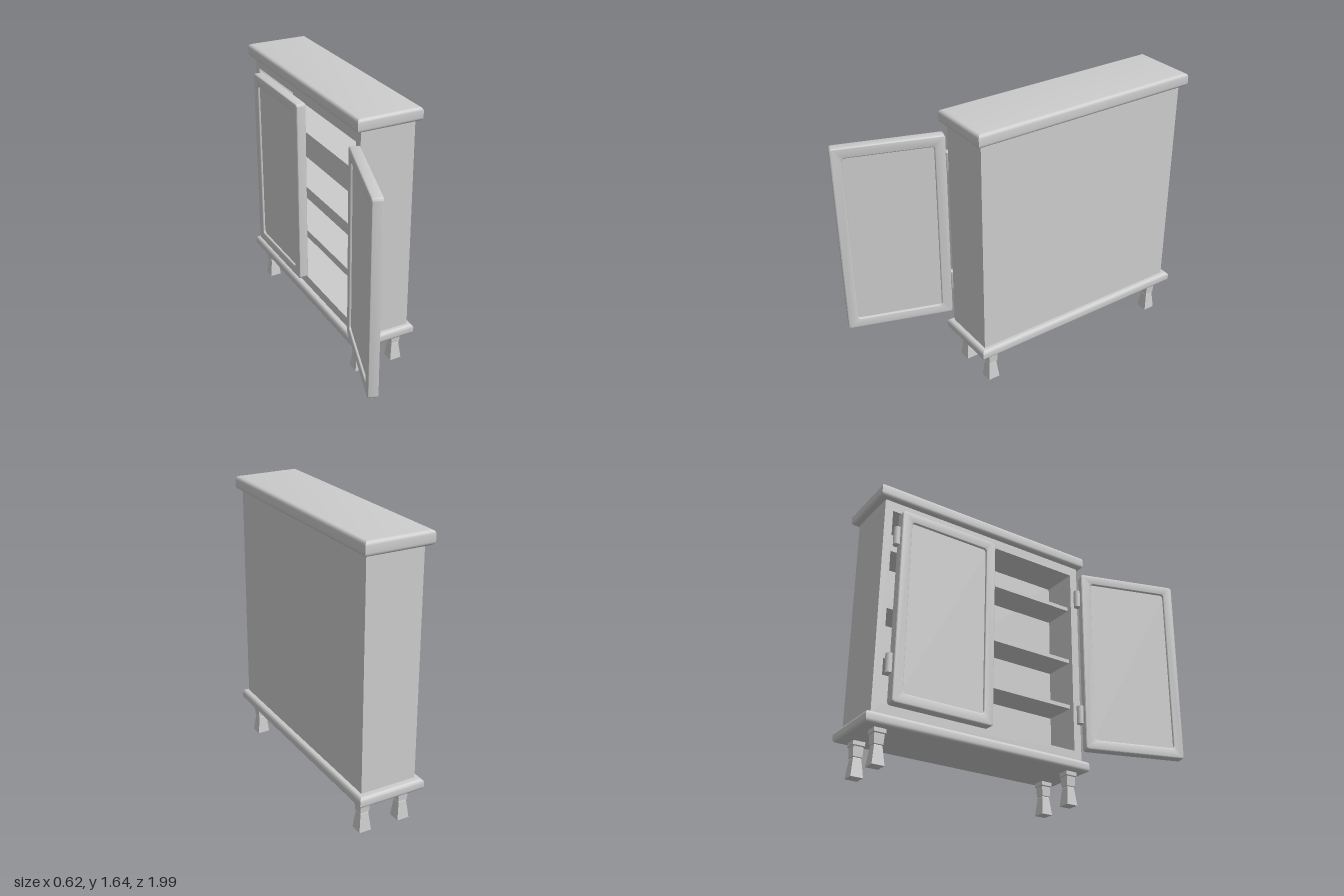
import * as THREE from 'three';
import { toCreasedNormals } from 'three/addons/utils/BufferGeometryUtils.js';

const grey = new THREE.MeshStandardMaterial({ color: 0xcccccc });

function add(parent, name, geometry, x = 0, y = 0, z = 0) {
  const mesh = new THREE.Mesh(geometry, grey);
  mesh.name = name;
  mesh.position.set(x, y, z);
  parent.add(mesh);
  return mesh;
}

// Stacked rectangles, profile rows are [inset, height] from bottom to top
function rectLoft(width, depth, profile, crease = 0.6) {
  const pos = [], idx = [], n = profile.length;
  for (const [inset, y] of profile) {
    const a = width / 2 - inset, b = depth / 2 - inset;
    pos.push(-a, y, b, a, y, b, a, y, -b, -a, y, -b);
  }
  for (let i = 0; i < n - 1; i++) {
    for (let j = 0; j < 4; j++) {
      const p = i * 4 + j, q = i * 4 + (j + 1) % 4;
      idx.push(p, q, q + 4, p, q + 4, p + 4);
    }
  }
  const t = (n - 1) * 4;
  idx.push(0, 2, 1, 0, 3, 2, t, t + 1, t + 2, t, t + 2, t + 3);
  const g = new THREE.BufferGeometry();
  g.setAttribute('position', new THREE.Float32BufferAttribute(pos, 3));
  g.setIndex(idx);
  return toCreasedNormals(g, crease);
}

// Rounded rectangle outline, u along z and v along y
function roundRect(path, u0, v0, u1, v1, r) {
  path.moveTo(u0 + r, v0);
  path.lineTo(u1 - r, v0);
  path.absarc(u1 - r, v0 + r, r, -Math.PI / 2, 0);
  path.lineTo(u1, v1 - r);
  path.absarc(u1 - r, v1 - r, r, 0, Math.PI / 2);
  path.lineTo(u0 + r, v1);
  path.absarc(u0 + r, v1 - r, r, Math.PI / 2, Math.PI);
  path.lineTo(u0, v0 + r);
  path.absarc(u0 + r, v0 + r, r, Math.PI, Math.PI * 1.5);
  return path;
}

// Slab with rounded edges all round
function slabGeometry(height) {
  const r = 0.022, steps = 5, profile = [];
  for (let k = 0; k <= 1; k++) {
    for (let i = 0; i <= steps; i++) {
      const a = (k - 1 + i / steps) * Math.PI / 2;
      const centre = k === 0 ? r : height - r;
      profile.push([r - r * Math.cos(a), centre + r * Math.sin(a)]);
    }
  }
  return rectLoft(0.395, 1.43, profile);
}

// Door with its hinge edge at z = 0, running along +z, bottom at y = 0
function makeDoor(name) {
  const door = new THREE.Group();
  door.name = name;
  const w = 0.62, h = 1.165, t = 0.06, b = 0.007, m = 0.055;
  const shape = roundRect(new THREE.Shape(), b, b, w - b, h - b, 0.01);
  shape.holes.push(roundRect(new THREE.Path(), m, m, w - m, h - m, 0.025));
  const frame = new THREE.ExtrudeGeometry(shape, {
    depth: t - 2 * b, bevelThickness: b, bevelSize: b, bevelSegments: 3, curveSegments: 5,
  });
  frame.translate(0, 0, b - t / 2);
  frame.rotateY(-Math.PI / 2);
  add(door, 'doorFrame', toCreasedNormals(frame, 0.6));
  add(door, 'doorPanel', new THREE.BoxGeometry(0.034, h - 0.08, w - 0.08), 0, h / 2, w / 2);
  return door;
}

export function createModel() {
  const cabinet = new THREE.Group();
  cabinet.name = 'cabinet';
  const front = -0.05, back = 0.28, inner = 0.176;
  const z0 = -0.96, z1 = 0.4, zMid = (z0 + z1) / 2;

  // Carcass: open frame facing -x, closed by the back panel
  const outline = new THREE.Shape();
  outline.moveTo(z0, 0.25).lineTo(z1, 0.25).lineTo(z1, 1.575).lineTo(z0, 1.575).closePath();
  const opening = new THREE.Path();
  opening.moveTo(z0 + 0.05, 0.325).lineTo(z0 + 0.05, 1.5).lineTo(z1 - 0.05, 1.5).lineTo(z1 - 0.05, 0.325).closePath();
  outline.holes.push(opening);
  const carcass = new THREE.ExtrudeGeometry(outline, { depth: inner - front, bevelEnabled: false });
  carcass.rotateY(-Math.PI / 2);
  add(cabinet, 'carcass', carcass, inner);
  add(cabinet, 'backPanel', new THREE.BoxGeometry(back - inner, 1.325, z1 - z0), (back + inner) / 2, 0.9125, zMid);

  // Shelves
  for (const y of [0.61, 0.91, 1.27]) {
    add(cabinet, 'shelf', new THREE.BoxGeometry(0.197, 0.024, 1.27), 0.08, y, zMid);
  }

  // Top and base slabs
  add(cabinet, 'topSlab', slabGeometry(0.08), 0.113, 1.56, -0.285);
  add(cabinet, 'baseSlab', slabGeometry(0.067), 0.113, 0.198, -0.285);

  // Square stepped legs
  const leg = rectLoft(0.074, 0.074, [
    [0.001, 0], [0.013, 0.105], [0.015, 0.11], [0.01, 0.113],
    [0.007, 0.17], [0.002, 0.175], [0.002, 0.205],
  ], 0.1);
  for (const x of [-0.007, 0.233]) {
    for (const z of [-0.895, 0.33]) add(cabinet, 'leg', leg, x, 0, z);
  }

  // One door closed, one swung open
  const closedDoor = makeDoor('closedDoor');
  closedDoor.position.set(-0.078, 0.325, -0.873);
  const openDoor = makeDoor('openDoor');
  openDoor.position.set(-0.087, 0.325, 0.396);
  openDoor.rotation.y = -0.32;
  cabinet.add(closedDoor, openDoor);

  // Hinge barrels
  for (const z of [-0.884, 0.388]) {
    for (const y of [0.55, 1.33]) {
      add(cabinet, 'hinge', new THREE.CylinderGeometry(0.021, 0.021, 0.112, 16), -0.067, y, z);
    }
  }
  return cabinet;
}
